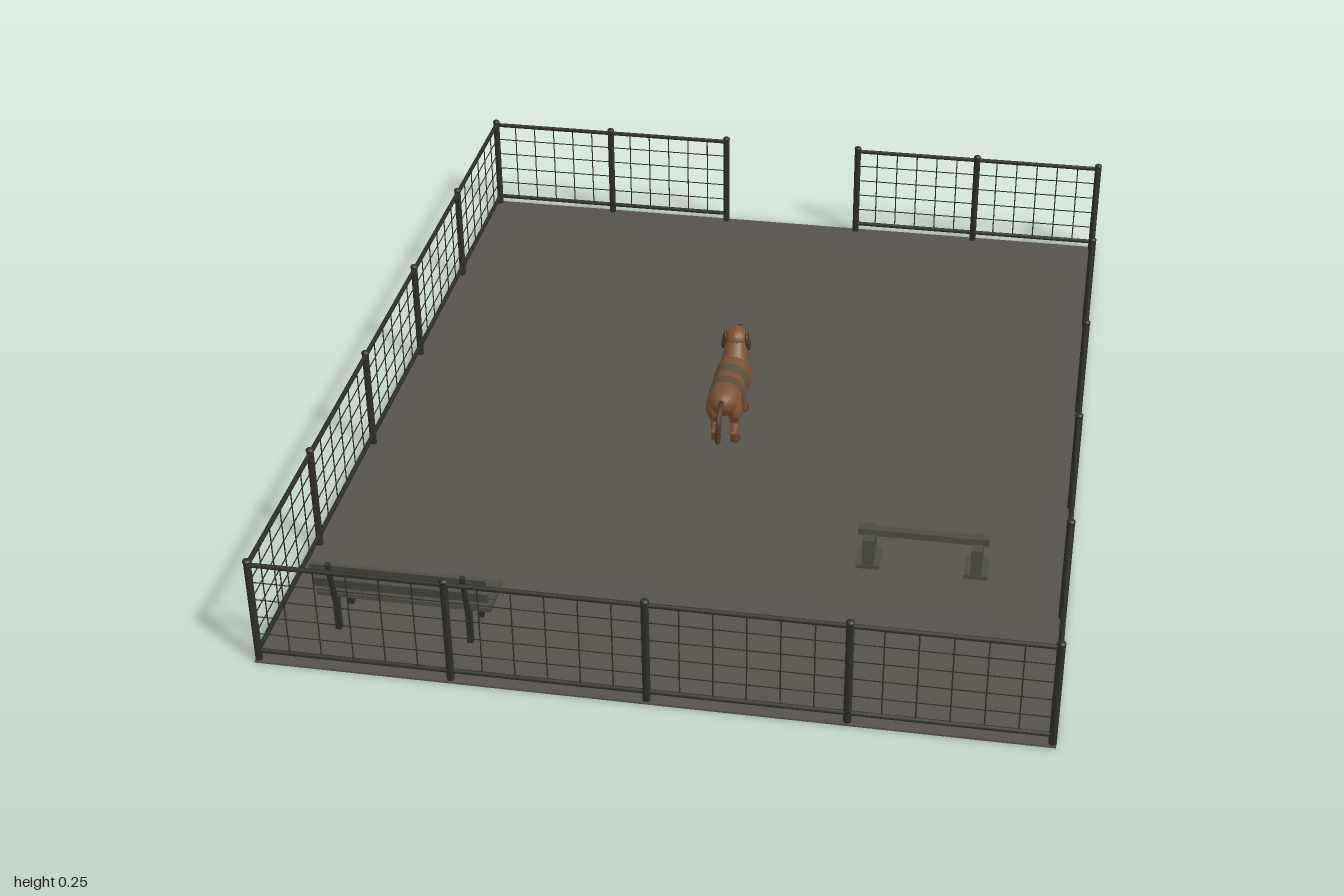
import * as THREE from 'three';

const mat = (name, color) => {
  const m = new THREE.MeshStandardMaterial({ color });
  m.name = name;
  return m;
};

export function createModel() {
  const M = {
    ground: mat('packed earth', 0x55534a),
    metal: mat('fence metal', 0x2e2e2a),
    wood: mat('weathered wood', 0x4d4c42),
    coat: mat('brown coat', 0x7c5233),
    strap: mat('harness grey', 0x57513f),
    dark: mat('dark brown', 0x50331f),
    black: mat('nose black', 0x1c1a18),
  };
  const root = new THREE.Group();
  const V = (x, y, z) => new THREE.Vector3(x, y, z);
  const group = (name, parent = root) => {
    const g = new THREE.Group();
    g.name = name;
    parent.add(g);
    return g;
  };
  const add = (parent, name, geo, m, x = 0, y = 0, z = 0) => {
    const mesh = new THREE.Mesh(geo, m);
    mesh.name = name;
    mesh.position.set(x, y, z);
    parent.add(mesh);
    return mesh;
  };
  const box = (parent, name, m, w, h, d, x, y, z) =>
    add(parent, name, new THREE.BoxGeometry(w, h, d), m, x, y, z);
  // Round rod between two points, optionally tapered
  const rod = (parent, name, m, a, b, ra, rb = ra, sides = 6) => {
    const dir = b.clone().sub(a);
    const mesh = add(parent, name, new THREE.CylinderGeometry(rb, ra, dir.length(), sides), m);
    mesh.position.copy(a).add(b).multiplyScalar(0.5);
    mesh.quaternion.setFromUnitVectors(V(0, 1, 0), dir.normalize());
    return mesh;
  };
  const ball = (parent, name, m, rx, ry, rz, x, y, z) => {
    const mesh = add(parent, name, new THREE.SphereGeometry(1, 14, 10), m, x, y, z);
    mesh.scale.set(rx, ry, rz);
    return mesh;
  };

  // Ground
  box(root, 'ground', M.ground, 1.59, 0.004, 2, 0, 0.002, 0);

  // Fence: posts, rails and wire mesh along a run of posts
  const fence = group('fence');
  const post = (x, z) => {
    rod(fence, 'fencePost', M.metal, V(x, 0, z), V(x, 0.243, z), 0.008, 0.008, 8);
    ball(fence, 'postCap', M.metal, 0.009, 0.006, 0.009, x, 0.243, z);
  };
  const panel = (a, b) => {
    const at = (t, y) => a.clone().lerp(b, t).setY(y);
    for (const y of [0.025, 0.235]) rod(fence, 'fenceRail', M.metal, at(0, y), at(1, y), 0.005);
    for (let i = 1; i <= 4; i++) {
      const y = 0.025 + i * 0.042;
      rod(fence, 'horizontalWire', M.metal, at(0, y), at(1, y), 0.0014, 0.0014, 4);
    }
    for (let i = 1; i <= 5; i++)
      rod(fence, 'verticalWire', M.metal, at(i / 6, 0.025), at(i / 6, 0.235), 0.0014, 0.0014, 4);
  };
  const X = 0.788, Z = 0.99;
  for (const s of [-1, 1]) {
    for (let i = 0; i < 5; i++) {
      const z0 = Z - i * Z * 0.4, z1 = z0 - Z * 0.4;
      panel(V(s * X, 0, z0), V(s * X, 0, z1));
      post(s * X, z0);
    }
    post(s * X, -Z);
    // Front run
    panel(V(s * X, 0, Z), V(s * X / 2, 0, Z));
    panel(V(s * X / 2, 0, Z), V(0, 0, Z));
    post(s * X / 2, Z);
    // Back run, leaving the gateway open
    panel(V(s * X, 0, -Z), V(s * 0.48, 0, -Z));
    panel(V(s * 0.48, 0, -Z), V(s * 0.172, 0, -Z));
    post(s * 0.48, -Z);
    post(s * 0.172, -Z);
  }
  post(0, Z);

  // Bench with its back to the front fence
  const bench = group('bench');
  for (const z of [0.786, 0.819, 0.852])
    box(bench, 'seatSlat', M.wood, 0.36, 0.01, 0.029, -0.52, 0.086, z);
  for (const [y, z] of [[0.128, 0.88], [0.168, 0.888]])
    box(bench, 'backSlat', M.wood, 0.36, 0.024, 0.008, -0.52, y, z).rotation.x = 0.2;
  for (const x of [-0.66, -0.385]) {
    box(bench, 'frontLeg', M.metal, 0.012, 0.082, 0.012, x, 0.041, 0.782);
    box(bench, 'rearLeg', M.metal, 0.012, 0.082, 0.012, x, 0.041, 0.868);
    box(bench, 'seatBearer', M.metal, 0.012, 0.008, 0.1, x, 0.077, 0.825);
    rod(bench, 'backSupport', M.metal, V(x, 0.08, 0.874), V(x, 0.185, 0.897), 0.006);
  }

  // Low training hurdle
  const hurdle = group('hurdle');
  for (const x of [0.375, 0.602]) {
    box(hurdle, 'hurdleFoot', M.wood, 0.05, 0.009, 0.072, x, 0.0085, 0.458);
    box(hurdle, 'hurdleUpright', M.wood, 0.024, 0.064, 0.068, x, 0.042, 0.458);
  }
  box(hurdle, 'hurdleBar', M.wood, 0.275, 0.015, 0.018, 0.488, 0.079, 0.458);

  // Dog, facing the gateway
  const dog = group('dog');
  // Cross-sections along the trunk: z, centre y, half width, half height
  const trunk = [
    [0.112, 0.126, 0.002, 0.002], [0.107, 0.126, 0.02, 0.02], [0.092, 0.124, 0.033, 0.032],
    [0.065, 0.122, 0.038, 0.037], [0.03, 0.12, 0.036, 0.037], [-0.01, 0.116, 0.038, 0.043],
    [-0.05, 0.114, 0.04, 0.048], [-0.08, 0.117, 0.035, 0.044], [-0.1, 0.122, 0.022, 0.03],
    [-0.109, 0.125, 0.002, 0.002],
  ];
  const loft = (rings, n = 18) => {
    const pos = [], idx = [];
    rings.forEach(([z, y, rx, ry], i) => {
      for (let j = 0; j < n; j++) {
        const t = (j / n) * Math.PI * 2;
        pos.push(Math.cos(t) * rx, y + Math.sin(t) * ry, z);
        if (i === rings.length - 1) continue;
        const a = i * n + j, b = i * n + ((j + 1) % n);
        idx.push(a, a + n, b, b, a + n, b + n);
      }
    });
    const g = new THREE.BufferGeometry();
    g.setAttribute('position', new THREE.Float32BufferAttribute(pos, 3));
    g.setIndex(idx);
    g.computeVertexNormals();
    return g;
  };
  add(dog, 'trunk', loft(trunk), M.coat);

  // Harness bands follow the trunk
  const section = (z, grow) => {
    const i = trunk.findIndex((r) => r[0] <= z);
    const p = trunk[i - 1], q = trunk[i], t = (p[0] - z) / (p[0] - q[0]);
    return [z, ...[1, 2, 3].map((k) => p[k] + (q[k] - p[k]) * t + (k > 1 ? grow : 0))];
  };
  for (const [a, b] of [[0.052, 0.028], [0.002, -0.022]])
    add(dog, 'harnessBand', loft([section(a, 0), section(a, 0.002), section(b, 0.002), section(b, 0)]), M.strap);

  // Neck and head
  rod(dog, 'neck', M.coat, V(0, 0.128, -0.066), V(0, 0.18, -0.094), 0.033, 0.023, 14);
  ball(dog, 'skull', M.coat, 0.026, 0.025, 0.03, 0, 0.185, -0.1);
  rod(dog, 'muzzle', M.coat, V(0, 0.181, -0.112), V(0, 0.176, -0.149), 0.018, 0.012, 12);
  ball(dog, 'muzzleTip', M.coat, 0.012, 0.012, 0.008, 0, 0.176, -0.149);
  ball(dog, 'nose', M.black, 0.007, 0.005, 0.005, 0, 0.182, -0.155);

  for (const s of [-1, 1]) {
    const ear = ball(dog, 'ear', M.dark, 0.006, 0.023, 0.013, s * 0.027, 0.181, -0.092);
    ear.rotation.z = s * 0.15;
    ball(dog, 'eye', M.black, 0.004, 0.004, 0.003, s * 0.013, 0.193, -0.125);
    // Side strap joining the bands
    box(dog, 'harnessStrap', M.strap, 0.004, 0.009, 0.075, s * 0.038, 0.112, 0.012);
    // Front leg
    const x = s * 0.022;
    ball(dog, 'shoulder', M.coat, 0.016, 0.032, 0.021, s * 0.026, 0.102, -0.068);
    rod(dog, 'upperForeleg', M.coat, V(x, 0.095, -0.066), V(x, 0.05, -0.062), 0.014, 0.01, 10);
    rod(dog, 'lowerForeleg', M.coat, V(x, 0.052, -0.062), V(x, 0.012, -0.068), 0.01, 0.008, 10);
    ball(dog, 'frontPaw', M.dark, 0.011, 0.008, 0.015, x, 0.012, -0.075);
    // Hind leg
    ball(dog, 'thigh', M.coat, 0.017, 0.034, 0.025, s * 0.025, 0.104, 0.072);
    rod(dog, 'upperHindLeg', M.coat, V(x, 0.09, 0.068), V(x, 0.056, 0.058), 0.015, 0.011, 10);
    rod(dog, 'hock', M.coat, V(x, 0.062, 0.058), V(x, 0.04, 0.075), 0.011, 0.008, 10);
    rod(dog, 'lowerHindLeg', M.coat, V(x, 0.042, 0.075), V(x, 0.012, 0.064), 0.009, 0.007, 10);
    ball(dog, 'hindPaw', M.dark, 0.011, 0.008, 0.015, x, 0.012, 0.056);
  }

  // Drooping tail
  const tail = new THREE.CatmullRomCurve3([
    V(0, 0.138, 0.1), V(0, 0.133, 0.125), V(0, 0.112, 0.15), V(0, 0.088, 0.159), V(0, 0.07, 0.163),
  ]);
  add(dog, 'tail', new THREE.TubeGeometry(tail, 14, 0.006, 8), M.dark);
  ball(dog, 'tailTip', M.dark, 0.006, 0.008, 0.006, 0, 0.07, 0.163);

  return root;
}
